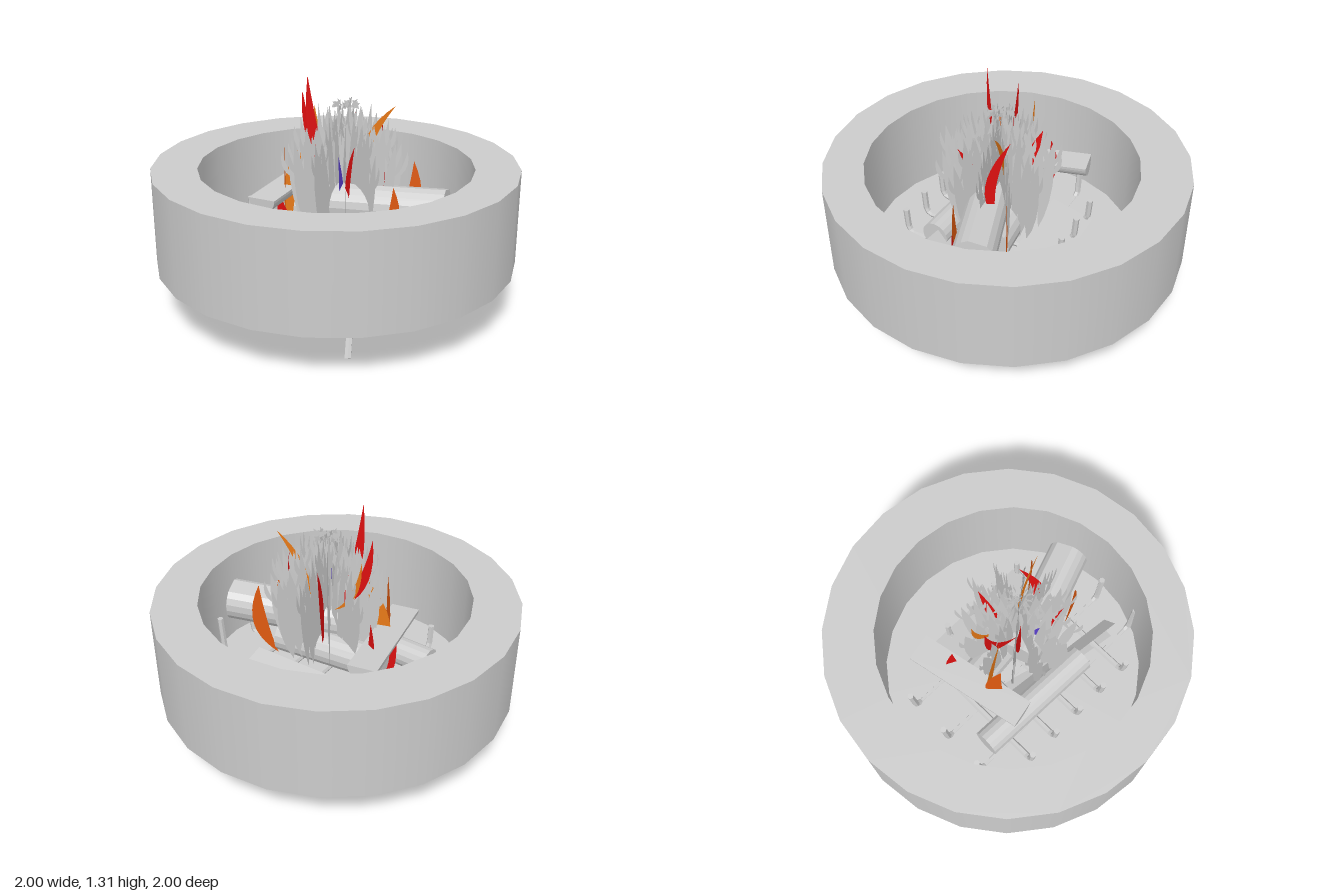
import * as THREE from 'three';

const V = (x, y, z) => new THREE.Vector3(x, y, z);
const mat = (color, flat = false) =>
  new THREE.MeshStandardMaterial({ color, flatShading: flat, side: THREE.DoubleSide });
const grey = mat(0xcccccc), greyFlat = mat(0xcccccc, true);
const red = mat(0xe01010), orange = mat(0xe05a10), amber = mat(0xe87a18), blue = mat(0x5a3fd0);

function add(parent, name, geometry, material) {
  const mesh = new THREE.Mesh(geometry, material);
  mesh.name = name;
  parent.add(mesh);
  return mesh;
}

// Hexagonal rod through points, with rounded corners and capped ends
function rod(parent, name, pts, r, bend) {
  const path = new THREE.CurvePath();
  let prev = pts[0];
  for (let i = 1; i < pts.length - 1; i++) {
    const a = pts[i].clone().add(pts[i - 1].clone().sub(pts[i]).setLength(bend));
    const b = pts[i].clone().add(pts[i + 1].clone().sub(pts[i]).setLength(bend));
    path.add(new THREE.LineCurve3(prev, a));
    path.add(new THREE.QuadraticBezierCurve3(a, pts[i], b));
    prev = b;
  }
  path.add(new THREE.LineCurve3(prev, pts[pts.length - 1]));
  add(parent, name, new THREE.TubeGeometry(path, 40, r, 6), greyFlat);
  for (const [end, next] of [[0, 1], [pts.length - 1, pts.length - 2]]) {
    const cap = add(parent, name + 'Cap', new THREE.CircleGeometry(r, 6), greyFlat);
    cap.position.copy(pts[end]);
    cap.lookAt(pts[end].clone().multiplyScalar(2).sub(pts[next]));
  }
}

// Log split to a sector of its round section, running between two points
function log(parent, name, from, to, r, start, end) {
  const s = new THREE.Shape();
  if (end - start < 360) s.moveTo(0, 0);
  s.absarc(0, 0, r, THREE.MathUtils.degToRad(start), THREE.MathUtils.degToRad(end), false);
  s.closePath();
  const geo = new THREE.ExtrudeGeometry(s, { depth: from.distanceTo(to), bevelEnabled: false, curveSegments: 8 });
  const mesh = add(parent, name, geo, grey);
  mesh.position.copy(from);
  mesh.lookAt(to);
}

// Flat tongue from root to tip; each side is bowed by its own amount
function tongue(x0, y0, x1, y1, b1, b2) {
  const dx = x1 - x0, dy = y1 - y0, l = Math.hypot(dx, dy);
  const ctrl = (b, t) => [x0 + dx * t - (dy / l) * b, y0 + dy * t + (dx / l) * b];
  const s = new THREE.Shape();
  s.moveTo(x0, y0);
  s.quadraticCurveTo(...ctrl(b1, 0.45), x1, y1);
  s.quadraticCurveTo(...ctrl(b2, 0.4), x0, y0);
  return s;
}

// Upright coloured sheet in the vertical plane through root and tip
function flame(parent, name, root, tip, b1, b2, material) {
  const u = Math.hypot(tip.x - root.x, tip.z - root.z);
  const geo = new THREE.ShapeGeometry(tongue(0, root.y, u, tip.y, b1, b2), 10);
  const mesh = add(parent, name, geo, material);
  mesh.position.set(root.x, 0, root.z);
  mesh.rotation.y = -Math.atan2(tip.z - root.z, tip.x - root.x);
}

function buildRing(g) {
  // Double-walled ring: open underneath, the hollow closed by a floor
  const h = 0.53, y = 0.28 + h / 2;
  add(g, 'outerWall', new THREE.CylinderGeometry(1, 1, h, 24, 1, true), grey).position.y = y;
  add(g, 'innerWall', new THREE.CylinderGeometry(0.75, 0.75, h, 24, 1, true), grey).position.set(0.02, y, 0.02);
  const top = new THREE.Shape().absarc(0, 0, 1, 0, Math.PI * 2, false);
  top.holes.push(new THREE.Path().absarc(0.02, -0.02, 0.75, 0, Math.PI * 2, true));
  add(g, 'rim', new THREE.ShapeGeometry(top, 12).rotateX(-Math.PI / 2).translate(0, 0.28 + h, 0), grey);
  add(g, 'floor', new THREE.CircleGeometry(0.75, 24).rotateX(-Math.PI / 2).translate(0.02, 0.28, 0.02), grey);
}

function buildGrate(g) {
  // Long bars with upturned ends
  for (const z of [-0.19, 0.08, 0.345]) {
    rod(g, 'longBar', [V(-0.58, 0.5, z), V(-0.56, 0.266, z), V(0.68, 0.266, z), V(0.7, 0.5, z)], 0.018, 0.05);
  }
  // Cross bars
  for (let i = 0; i < 5; i++) {
    const x = -0.32 + 0.19 * i;
    rod(g, 'crossBar', [V(x, 0.45, -0.37), V(x, 0.3, -0.36), V(x, 0.3, 0.51), V(x, 0.45, 0.52)], 0.018, 0.05);
  }
  // Splayed leg frames
  for (const [top, foot] of [[-0.31, -0.377], [0.43, 0.497]]) {
    rod(g, 'legFrame', [V(foot, 0.012, 0.53), V(top, 0.22, 0.415), V(top, 0.22, -0.255), V(foot, 0.012, -0.37)], 0.018, 0.09);
  }
}

function buildLogs(g) {
  log(g, 'backLog', V(-0.33, 0.56, -0.32), V(0.44, 0.56, -0.335), 0.26, 225, 285);
  log(g, 'frontLog', V(-0.45, 0.38, 0.28), V(0.3, 0.38, 0.3), 0.08, 0, 360);
  log(g, 'rightLog', V(-0.14, 0.5, 0.04), V(0.6, 0.5, 0.12), 0.2, 200, 238);
  log(g, 'rightLogSplit', V(-0.13, 0.47, 0.08), V(0.58, 0.44, 0.18), 0.2, 225, 280);
  log(g, 'middleLog', V(-0.31, 0.48, -0.01), V(0.32, 0.48, -0.08), 0.095, 0, 360);
  log(g, 'leftLog', V(-0.38, 0.67, -0.32), V(-0.235, 0.64, 0.35), 0.08, 180, 360);
  log(g, 'topLog', V(0, 0.61, 0.09), V(0.63, 0.64, -0.14), 0.115, 100, 410);
}

function buildFlames(g) {
  // Crossed grey sheets of forked tongues under a dome
  for (let k = 0; k < 6; k++) {
    const shapes = [];
    for (let i = -4; i <= 4; i++) {
      const side = i < 0 ? -1 : 1, u = i * 0.07;
      const wave = 0.04 * Math.sin(i * 2.3 + k * 1.7);
      const tip = 1.13 - 2 * u * u + wave;
      const b = 0.075 + 0.02 * Math.sin(i + k * 2);
      shapes.push(tongue(u * 0.8, 0.36 + Math.abs(u) * 0.3, u + side * 0.025, tip, b, -b));
      // Curled fork beside each tip
      shapes.push(tongue(u, tip - 0.2, u + side * 0.06, tip - 0.05, -side * 0.06, -side * 0.01));
      shapes.push(tongue(u, tip - 0.14, u - side * 0.035, tip - 0.01, side * 0.045, side * 0.005));
    }
    // Loose sparks over the crown
    for (const u of [-0.05, 0.01, 0.06]) {
      const y = 1.13 + 0.01 * Math.sin(k * 2 + u * 40);
      shapes.push(tongue(u - 0.02, y, u + 0.02, y + 0.035, 0.02, -0.012));
      shapes.push(tongue(u + 0.015, y, u - 0.015, y + 0.035, 0.015, -0.015));
    }
    const sheet = add(g, 'greyFlame', new THREE.ShapeGeometry(shapes, 5), grey);
    sheet.position.set(0.07, 0, 0.01);
    sheet.rotation.y = (k * Math.PI) / 6 + 0.15;
  }
  // Coloured crescents
  const list = [
    ['tallFlame', V(0.04, 0.5, 0), V(-0.065, 1.31, 0.155), -0.16, -0.03, red],
    ['leanFlame', V(0.04, 0.7, 0.03), V(-0.2, 1.19, 0.04), -0.19, -0.08, red],
    ['leftFlame', V(-0.02, 0.75, -0.05), V(-0.2, 1.1, -0.06), -0.13, -0.07, amber],
    ['rightFlame', V(0.15, 0.7, -0.06), V(0.32, 1.155, -0.1), 0.17, 0.08, amber],
    ['hookFlame', V(0.26, 0.6, -0.08), V(0.21, 1.08, -0.13), 0.2, 0.08, red],
    ['sideFlame', V(-0.2, 0.45, 0.19), V(-0.22, 0.93, 0.17), -0.2, -0.02, orange],
    ['sideFlame', V(-0.24, 0.4, 0.1), V(-0.12, 0.96, 0.06), 0.2, 0.04, amber],
    ['sideFlame', V(0.3, 0.4, -0.15), V(0.38, 0.84, -0.2), -0.18, -0.02, orange],
    ['sideFlame', V(0.36, 0.42, 0.1), V(0.44, 0.78, 0.08), -0.16, -0.02, orange],
    ['sideFlame', V(-0.22, 0.4, -0.08), V(-0.3, 0.8, -0.12), -0.18, -0.03, red],
    ['innerFlame', V(0.18, 0.5, 0.12), V(0.25, 0.98, 0.16), 0.16, 0.04, red],
    ['innerFlame', V(0.02, 0.5, -0.1), V(-0.02, 1.05, -0.2), 0.14, -0.02, red],
    ['innerFlame', V(0.1, 0.35, 0.05), V(0.13, 0.9, 0.14), 0.1, -0.05, blue],
    // Roots that reach below the floor
    ['redRoot', V(-0.19, 0.18, 0.15), V(-0.29, 0.6, 0.15), 0.12, -0.12, red],
    ['redRoot', V(0.4, 0.175, 0.14), V(0.3, 0.6, 0.17), 0.06, -0.08, red],
    ['blueRoot', V(-0.23, 0.16, 0.15), V(-0.18, 0.55, 0.25), 0.06, -0.08, blue],
  ];
  for (const f of list) flame(g, ...f);
  // Broad rounded roots, as bowls in upright planes
  for (const [name, a, b, m] of [
    ['redBowl', V(-0.32, 0.25, 0.14), V(-0.04, 0.25, 0.16), red],
    ['blueBowl', V(0.16, 0.25, -0.02), V(0.42, 0.25, -0.21), blue],
  ]) flame(g, name, a, b, -0.15, 0.1, m);
}

export function createModel() {
  const model = new THREE.Group();
  model.name = 'firePit';
  for (const [name, build] of [['ring', buildRing], ['grate', buildGrate], ['logs', buildLogs], ['flames', buildFlames]]) {
    const part = new THREE.Group();
    part.name = name;
    build(part);
    model.add(part);
  }
  return model;
}
